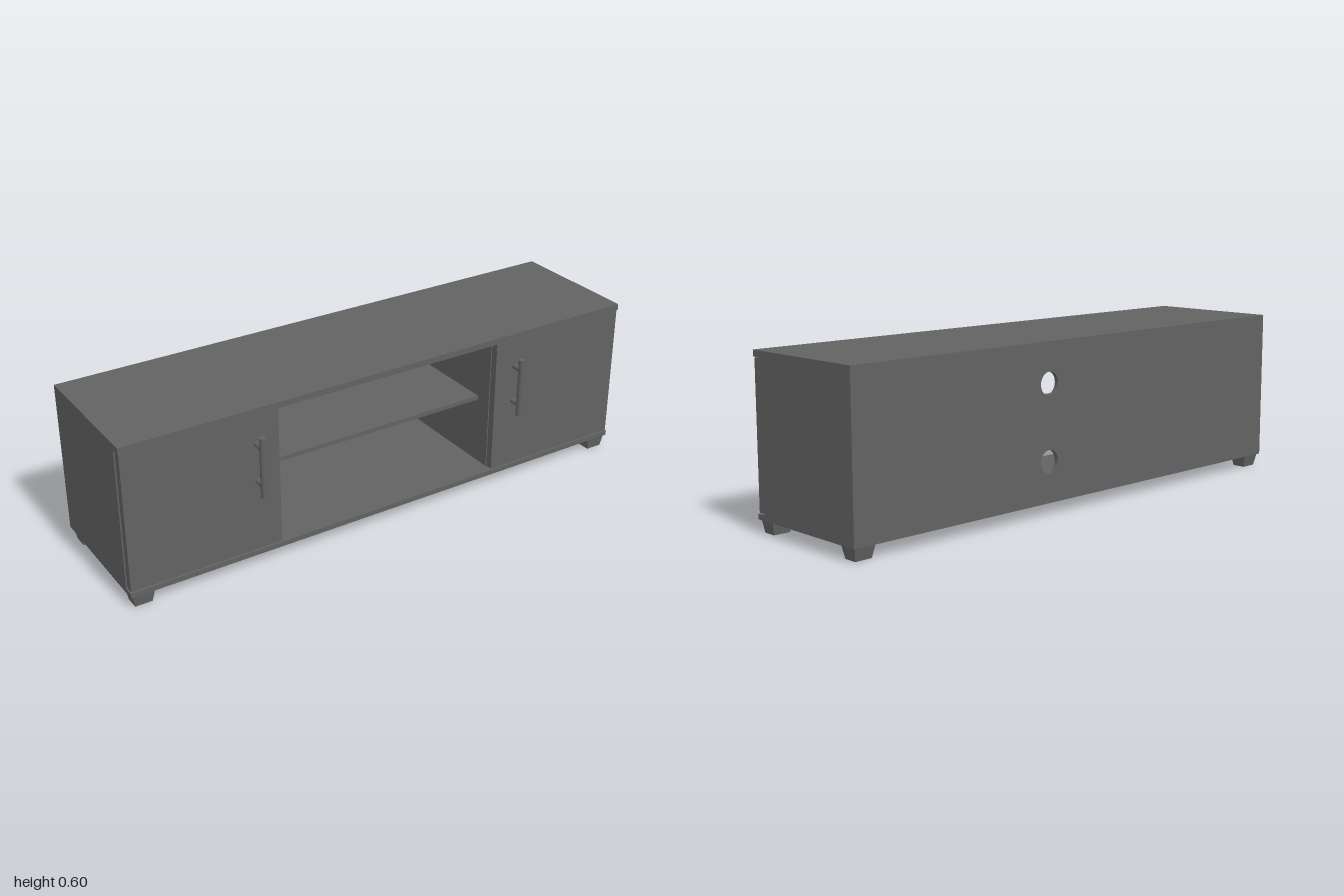
import * as THREE from 'three';

const material = new THREE.MeshStandardMaterial({ color: 0x626262, flatShading: true });
const smooth = new THREE.MeshStandardMaterial({ color: 0x626262 });

function add(parent, name, geometry, mat = material) {
  const mesh = new THREE.Mesh(geometry, mat);
  mesh.name = name;
  parent.add(mesh);
  return mesh;
}

// Box given by its extents on each axis
function box(parent, name, [x0, x1], [y0, y1], [z0, z1]) {
  const mesh = add(parent, name, new THREE.BoxGeometry(x1 - x0, y1 - y0, z1 - z0));
  mesh.position.set((x0 + x1) / 2, (y0 + y1) / 2, (z0 + z1) / 2);
  return mesh;
}

// Extents mirrored to the other side when s is -1
const side = (s, a, b) => (s > 0 ? [a, b] : [-b, -a]);

// Block that narrows towards the floor
function foot(parent, name, x, z, depth) {
  const h = 0.045;
  const geometry = new THREE.BoxGeometry(0.078, h, depth);
  const p = geometry.attributes.position;
  for (let i = 0; i < p.count; i++) {
    if (p.getY(i) < 0) {
      p.setX(i, Math.sign(p.getX(i)) * 0.031);
      p.setZ(i, Math.sign(p.getZ(i)) * 0.0245);
    }
  }
  geometry.computeVertexNormals();
  add(parent, name, geometry).position.set(x, h / 2, z);
}

// Bar pull with two posts
function handle(parent, x) {
  const group = new THREE.Group();
  group.name = 'handle';
  add(group, 'handleBar', new THREE.CylinderGeometry(0.012, 0.012, 0.22, 20), smooth).position.set(x, 0.397, 0.264);
  for (const y of [0.328, 0.466]) {
    const post = add(group, 'handlePost', new THREE.CylinderGeometry(0.01, 0.01, 0.036, 16), smooth);
    post.rotation.x = Math.PI / 2;
    post.position.set(x, y, 0.24);
  }
  parent.add(group);
}

export function createModel() {
  const model = new THREE.Group();
  model.name = 'mediaCabinet';
  const back = -0.276, inner = -0.261, carcassFront = 0.191, front = 0.226;
  const height = [0.063, 0.573];

  // Carcass
  box(model, 'topPanel', [-1, 1], [0.573, 0.595], [back, front]);
  box(model, 'bottomPanel', [-1, 1], [0.045, 0.063], [back, front]);
  box(model, 'shelf', [-0.442, 0.442], [0.312, 0.328], [inner, 0.128]);

  // Back panel with two cable holes
  const panel = new THREE.Shape();
  panel.moveTo(-1, height[0]);
  panel.lineTo(1, height[0]);
  panel.lineTo(1, height[1]);
  panel.lineTo(-1, height[1]);
  panel.closePath();
  for (const y of [0.453, 0.188]) {
    panel.holes.push(new THREE.Path().absarc(0.18, y, 0.04, 0, Math.PI * 2, true));
  }
  const backPanel = add(model, 'backPanel',
    new THREE.ExtrudeGeometry(panel, { depth: inner - back, bevelEnabled: false, curveSegments: 32 }));
  backPanel.position.z = back;

  // Everything that is mirrored left and right
  for (const s of [1, -1]) {
    const name = s > 0 ? 'left' : 'right';
    box(model, name + 'SidePanel', side(s, 0.98, 1), height, [inner, carcassFront]);
    box(model, name + 'Divider', side(s, 0.442, 0.462), height, [inner, carcassFront]);

    const door = new THREE.Group();
    door.name = name + 'Door';
    box(door, 'doorPanel', side(s, 0.442, 0.997), [0.067, 0.57], [0.196, 0.223]);
    for (const y of [0.187, 0.451]) {
      box(door, 'hinge', side(s, 0.955, 0.99), [y - 0.032, y + 0.032], [0.188, 0.197]);
    }
    handle(door, s * 0.525);
    model.add(door);

    foot(model, name + 'FrontFoot', s * 0.953, 0.19, 0.062);
    foot(model, name + 'BackFoot', s * 0.953, -0.235, 0.068);
  }
  return model;
}
